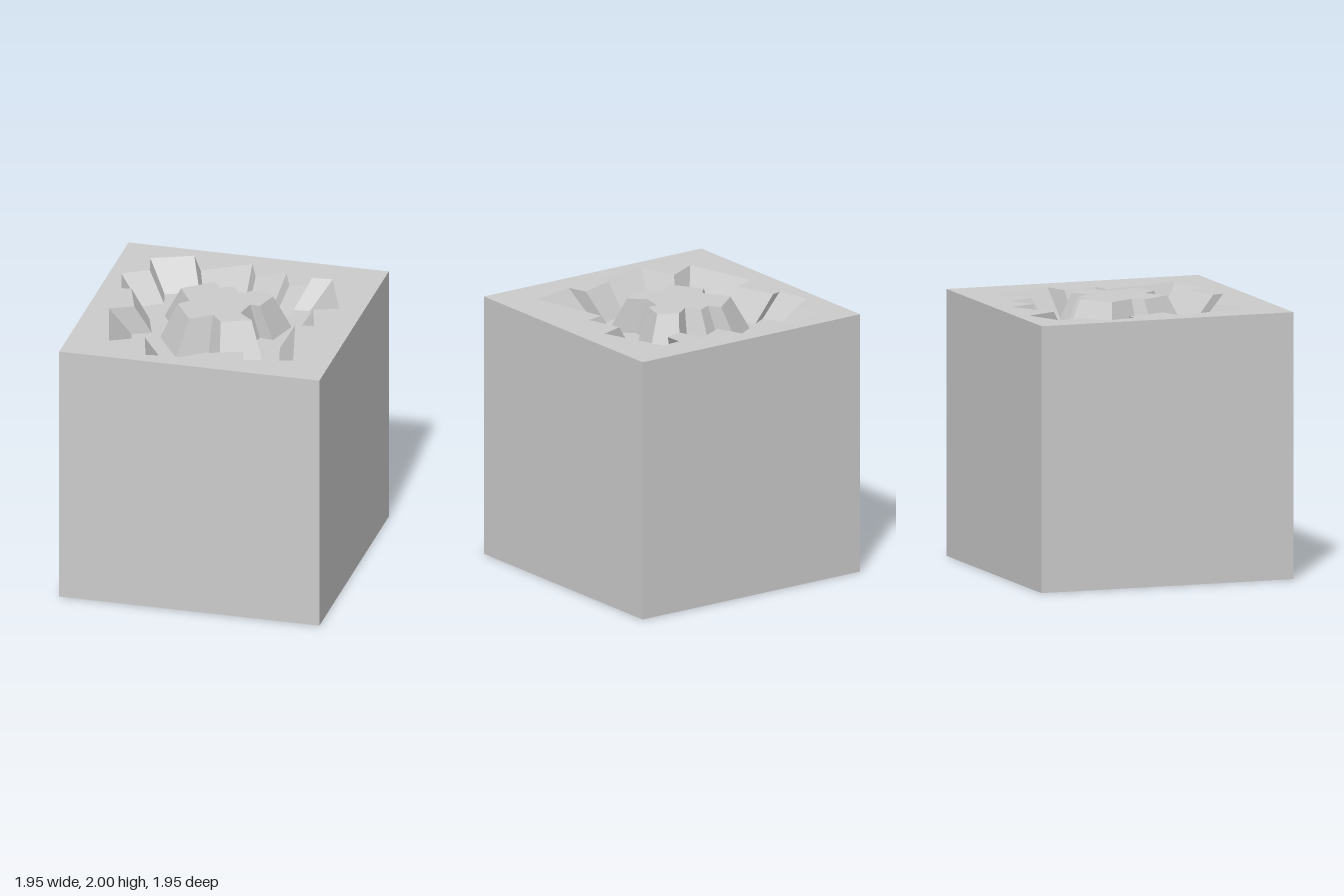
import * as THREE from 'three';

const HALF = 0.973, DECK = 1.95, FLOOR = 1.74, PEAK = 2;

// Outlines as [x, z], clockwise seen from above, starting at the back left
const rim = [
  [-0.75, -0.75], [-0.455, -0.873], [-0.345, -0.64], [-0.013, -0.842], [0.065, -0.645],
  [0.268, -0.75], [0.34, -0.556], [0.47, -0.592], [0.465, -0.722], [0.616, -0.738],
  [0.792, -0.26], [0.616, -0.197], [0.693, 0.073], [0.558, 0.099], [0.7, 0.688],
  [0.356, 0.78], [0.309, 0.634], [0.034, 0.733], [0.049, 0.816], [-0.356, 0.865],
  [-0.439, 0.577], [-0.673, 0.698], [-0.818, 0.161], [-0.649, 0.082], [-0.75, -0.213],
  [-0.818, -0.197], [-0.886, -0.442], [-0.704, -0.556],
];
const moundBase = [
  [-0.512, -0.26], [-0.226, -0.494], [-0.148, -0.375], [-0.018, -0.438], [0.08, -0.301],
  [0.231, -0.41], [0.423, -0.307], [0.351, -0.057], [0.25, -0.066], [0.21, 0.155],
  [0.361, 0.291], [0.075, 0.41], [-0.044, 0.265], [-0.247, 0.421], [-0.449, 0.104],
  [-0.356, 0.005],
];
const square = [[-HALF, -HALF], [HALF, -HALF], [HALF, HALF], [-HALF, HALF]];

const shrink = (pts, s, dx, dz) => pts.map(([x, z]) => [x * s + dx, z * s + dz]);

// Flat-shaded strip of quads joining two matching outlines
function band(a, ya, b, yb) {
  const pos = [];
  a.forEach((p, i) => {
    const j = (i + 1) % a.length;
    const a0 = [p[0], ya, p[1]], a1 = [a[j][0], ya, a[j][1]];
    const b0 = [b[i][0], yb, b[i][1]], b1 = [b[j][0], yb, b[j][1]];
    pos.push(...b0, ...b1, ...a1, ...b0, ...a1, ...a0);
  });
  const g = new THREE.BufferGeometry();
  g.setAttribute('position', new THREE.Float32BufferAttribute(pos, 3));
  g.computeVertexNormals();
  return g;
}

// Horizontal sheet with an optional hole
function sheet(outline, y, hole) {
  const to2 = (pts) => pts.map(([x, z]) => new THREE.Vector2(x, -z));
  const shape = new THREE.Shape(to2(outline));
  if (hole) shape.holes.push(new THREE.Path(to2(hole)));
  return new THREE.ShapeGeometry(shape).rotateX(-Math.PI / 2).translate(0, y, 0);
}

export function createModel() {
  const group = new THREE.Group();
  const grey = new THREE.MeshStandardMaterial({ color: 0xcccccc, side: THREE.DoubleSide, flatShading: true });
  grey.name = 'light grey';
  const add = (name, geometry) => {
    const mesh = new THREE.Mesh(geometry, grey);
    mesh.name = name;
    group.add(mesh);
  };

  const pit = shrink(rim, 0.797, -0.01, -0.017);
  const moundTop = shrink(moundBase, 0.727, -0.003, -0.014);

  // Block, open underneath
  add('blockSides', band(square, 0, square, DECK));
  add('blockTop', sheet(square, DECK, rim));
  // Sunken pit
  add('pitWalls', band(rim, DECK, pit, FLOOR));
  add('pitFloor', sheet(pit, FLOOR, moundBase));
  // Central mound
  add('moundWalls', band(moundBase, FLOOR, moundTop, PEAK));
  add('moundTop', sheet(moundTop, PEAK));
  return group;
}
